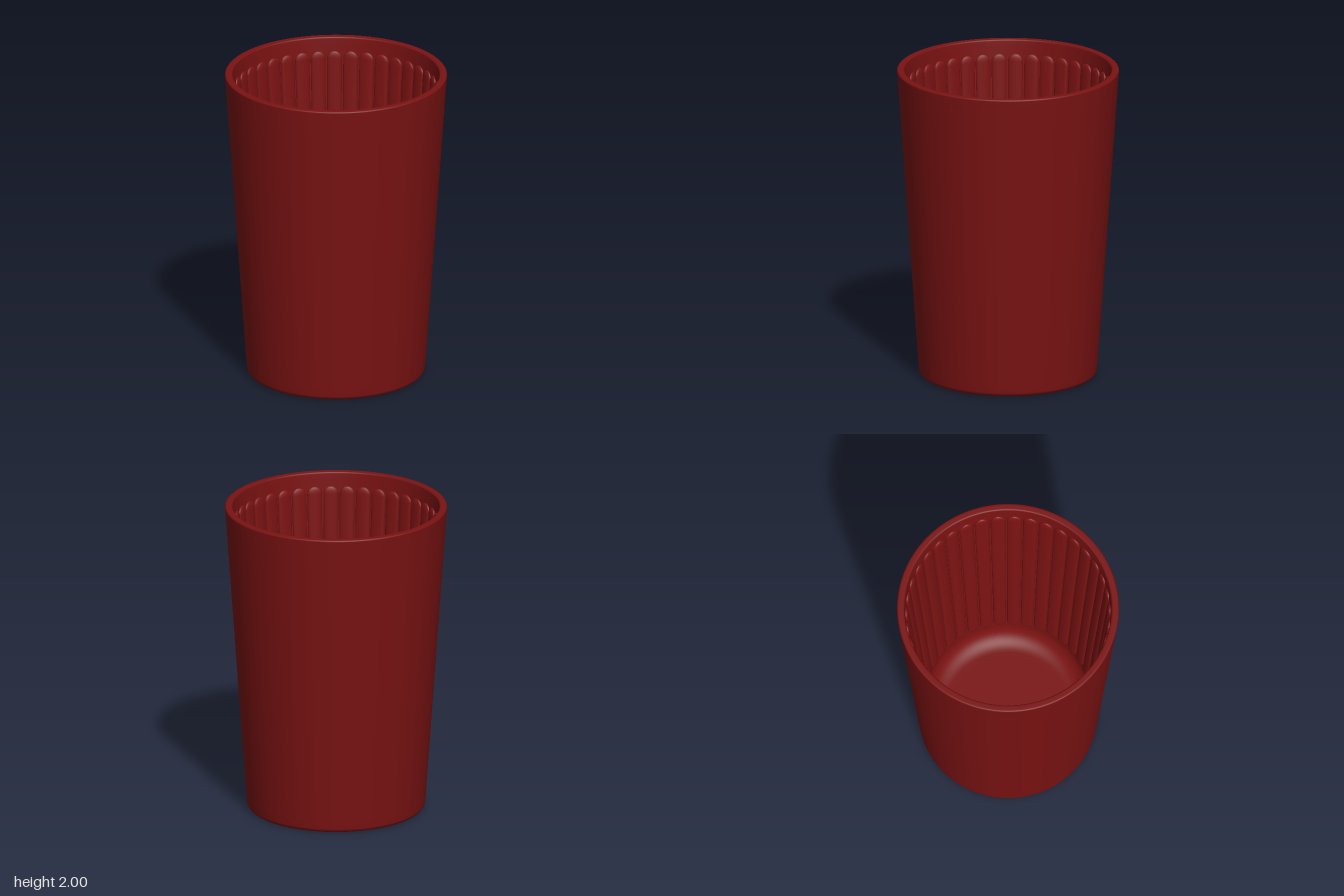
import * as THREE from 'three';

const RIBS = 39;
const SLOPE = 0.07; // radius gained per unit of height
const FLOOR = 0.08;
const innerRadius = (y) => 0.655 - SLOPE * (2 - y);

// Closed wall profile: underside, outside, rim, inside, floor
function cupProfile() {
  const pts = [];
  const add = (x, y) => pts.push(new THREE.Vector2(x, y));
  const arc = (cx, cy, r, from, to, steps) => {
    for (let i = 0; i <= steps; i++) {
      const a = from + ((to - from) * i) / steps;
      add(cx + r * Math.cos(a), cy + r * Math.sin(a));
    }
  };
  add(0, 0);
  add(0.51, 0);
  arc(0.533, 0.03, 0.03, -Math.PI / 2, -0.07, 6);
  add(0.568, 0.08);
  add(0.699, 1.95);
  arc(0.692, 1.99, 0.01, 0, Math.PI / 2, 4);
  add(0.685, 2);
  add(0.672, 2);
  arc(0.665, 1.99, 0.01, Math.PI / 2, Math.PI, 4);
  add(innerRadius(1.95), 1.95);
  add(innerRadius(0.24), 0.24);
  // rounded inner corner
  const r = 0.13, cx = innerRadius(0.21) - r;
  arc(cx, FLOOR + r, r, 0, -Math.PI / 2, 12);
  add(cx - 0.04, FLOOR);
  add(0, FLOOR);
  return pts;
}

// Flattened, tapered capsule with a squarish cross-section
function ribGeometry(length, topHalf, bottomHalf, depth) {
  const g = new THREE.CapsuleGeometry(topHalf, length - 2 * topHalf, 6, 24, 1);
  const p = g.attributes.position;
  for (let i = 0; i < p.count; i++) {
    const t = p.getY(i) / length + 0.5;
    const z = p.getZ(i) / topHalf;
    p.setX(i, p.getX(i) * THREE.MathUtils.lerp(bottomHalf / topHalf, 1, t));
    p.setZ(i, Math.sign(z) * depth * Math.pow(Math.abs(z), 0.65));
  }
  g.computeVertexNormals();
  return g;
}

export function createModel() {
  const group = new THREE.Group();
  const material = new THREE.MeshStandardMaterial({ color: 0x7a1212 });

  const cup = new THREE.Mesh(new THREE.LatheGeometry(cupProfile(), RIBS * 4), material);
  cup.name = 'cupWall';
  group.add(cup);

  // Raised ribs around the inside wall
  const top = 1.91, bottom = 0.25, mid = (top + bottom) / 2;
  const tilt = Math.atan(SLOPE);
  const halfWidth = (y) => (Math.PI * innerRadius(y)) / RIBS - 0.004;
  const geometry = ribGeometry((top - bottom) / Math.cos(tilt), halfWidth(top), halfWidth(bottom), 0.018);
  geometry.rotateX(tilt);
  geometry.translate(0, mid, innerRadius(mid));

  const ribs = new THREE.Group();
  ribs.name = 'innerRibs';
  for (let i = 0; i < RIBS; i++) {
    const rib = new THREE.Mesh(geometry, material);
    rib.name = 'rib';
    rib.rotation.y = Math.PI / 2 + (i * 2 * Math.PI) / RIBS;
    ribs.add(rib);
  }
  group.add(ribs);
  return group;
}
